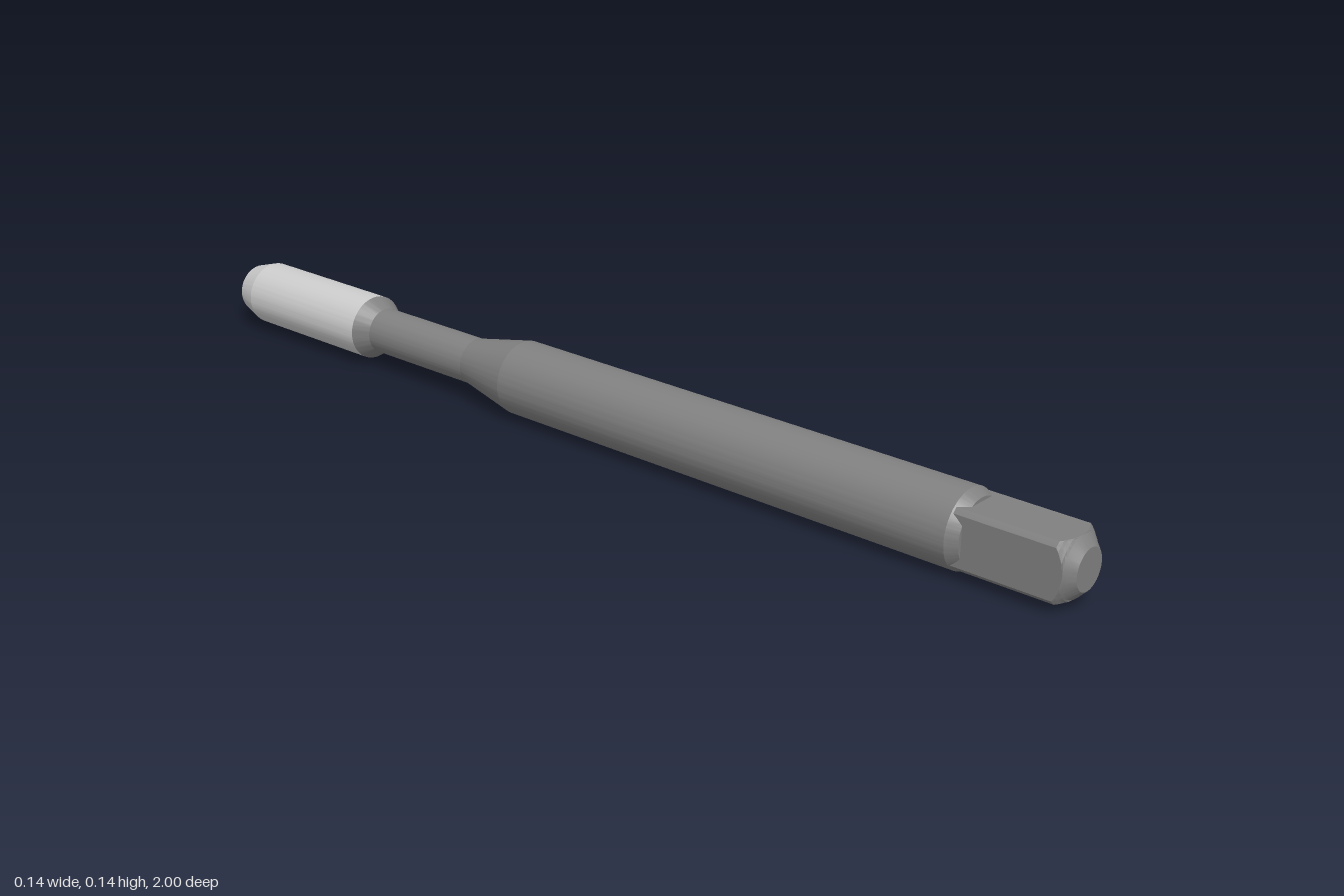
import * as THREE from 'three';
import { toCreasedNormals } from 'three/addons/utils/BufferGeometryUtils.js';

const CREASE = 0.15;
const AXIS_Y = 0.07;   // height of the tool's axis
const FLAT = 0.052;    // half width across the drive flats

// Surface of revolution along z from [radius, z] pairs, z ascending
function turned(profile) {
  const points = profile.map(([r, z]) => new THREE.Vector2(r, z));
  const geometry = new THREE.LatheGeometry(points, 72);
  geometry.rotateX(Math.PI / 2);
  return toCreasedNormals(geometry, CREASE);
}

// One cross-section: a circle of radius r cut by four flats
function squaredRing(r, z) {
  const ring = [];
  const corner = Math.acos(Math.min(1, FLAT / r));
  for (let side = 0; side < 4; side++) {
    const base = side * Math.PI / 2;
    for (let i = 0; i < 8; i++) {
      const a = -corner + 2 * corner * i / 8;
      const d = Math.min(r, FLAT / Math.cos(a));
      ring.push([d * Math.cos(base + a), d * Math.sin(base + a), z]);
    }
    const arc = Math.PI / 2 - 2 * corner;
    for (let i = 0; i < 8; i++) {
      const a = base + corner + arc * i / 8;
      ring.push([r * Math.cos(a), r * Math.sin(a), z]);
    }
  }
  return ring;
}

// Square drive end with a conical chamfer and a round end face
function driveGeometry() {
  const rings = [[0.068, 0.77], [0.068, 0.971], [0.064, 0.975], [0.06, 0.978],
    [0.056, 0.982], [0.052, 0.985], [0.036, 1]].map(([r, z]) => squaredRing(r, z));
  const n = rings[0].length;
  const positions = rings.flat(2);
  positions.push(0, 0, 1);
  const index = [];
  for (let k = 0; k < rings.length; k++) {
    for (let i = 0; i < n; i++) {
      const a = k * n + i, b = k * n + (i + 1) % n;
      if (k < rings.length - 1) index.push(a, b, b + n, a, b + n, a + n);
      else index.push(a, b, rings.length * n);
    }
  }
  const geometry = new THREE.BufferGeometry();
  geometry.setAttribute('position', new THREE.Float32BufferAttribute(positions, 3));
  geometry.setIndex(index);
  return toCreasedNormals(geometry, CREASE);
}

export function createModel() {
  const group = new THREE.Group();
  group.name = 'threadTap';
  const dark = new THREE.MeshStandardMaterial({ color: 0x808080 });
  const light = new THREE.MeshStandardMaterial({ color: 0xcccccc });

  const add = (name, geometry, material) => {
    const mesh = new THREE.Mesh(geometry, material);
    mesh.name = name;
    mesh.position.y = AXIS_Y;
    group.add(mesh);
  };

  // Shank with collar, thin neck, long taper and chamfered shoulder
  add('shank', turned([[0.062, -0.585], [0.044, -0.555], [0.044, -0.3],
    [0.0695, -0.175], [0.0695, 0.79], [0.059, 0.81], [0, 0.81]]), dark);
  add('squareDrive', driveGeometry(), dark);
  // Cutting head with lead chamfer and pointed tip
  add('cuttingHead', turned([[0, -1], [0.048, -0.947], [0.062, -0.9], [0.062, -0.585]]), light);
  return group;
}
